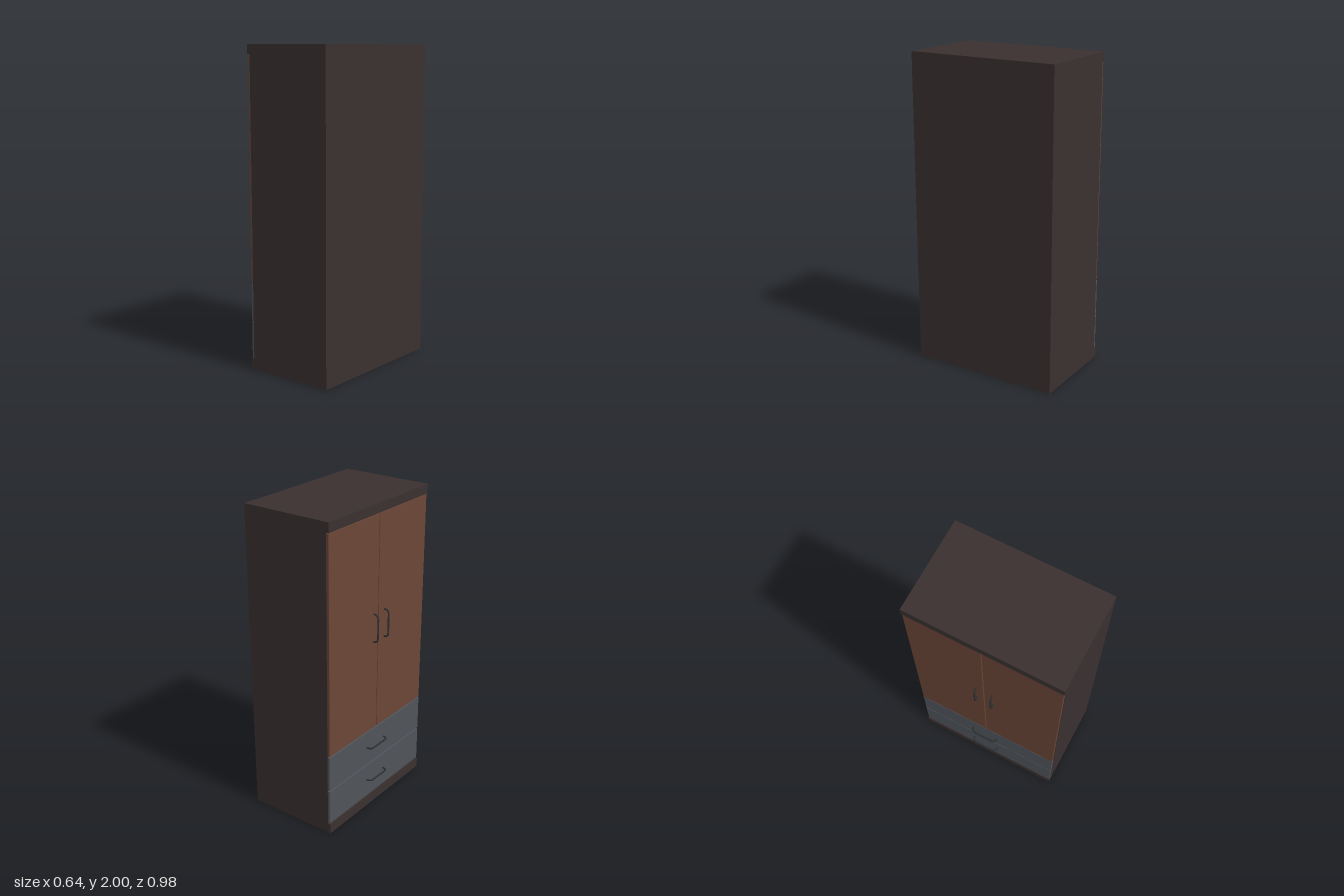
import * as THREE from 'three';
import { RoundedBoxGeometry } from 'three/addons/geometries/RoundedBoxGeometry.js';

const material = (color) => new THREE.MeshStandardMaterial({ color });

// Bow handle: runs along y, stands out towards -x, corners rounded
function handleGeometry() {
  const half = 0.09, out = -0.034, r = 0.03;
  const v = (x, y) => new THREE.Vector3(x, y, 0);
  const path = new THREE.CurvePath();
  path.add(new THREE.LineCurve3(v(0.004, -half), v(out + r, -half)));
  path.add(new THREE.QuadraticBezierCurve3(v(out + r, -half), v(out, -half), v(out, -half + r)));
  path.add(new THREE.LineCurve3(v(out, -half + r), v(out, half - r)));
  path.add(new THREE.QuadraticBezierCurve3(v(out, half - r), v(out, half), v(out + r, half)));
  path.add(new THREE.LineCurve3(v(out + r, half), v(0.004, half)));
  return new THREE.TubeGeometry(path, 60, 0.0055, 10);
}

export function createModel() {
  const group = new THREE.Group();
  const dark = material(0x3a3030);
  const wood = material(0x6a4636);
  const grey = material(0x50545a);
  const metal = material(0x2b3030);

  // Box given by its lower and upper corners; an edge radius rounds it
  function box(name, mat, [x0, y0, z0], [x1, y1, z1], radius = 0) {
    const size = [x1 - x0, y1 - y0, z1 - z0];
    const geometry = radius
      ? new RoundedBoxGeometry(...size, 2, radius)
      : new THREE.BoxGeometry(...size);
    const mesh = new THREE.Mesh(geometry, mat);
    mesh.name = name;
    mesh.position.set((x0 + x1) / 2, (y0 + y1) / 2, (z0 + z1) / 2);
    group.add(mesh);
  }

  const bow = handleGeometry();
  function handle(name, y, z, horizontal) {
    const mesh = new THREE.Mesh(bow, metal);
    mesh.name = name;
    mesh.position.set(-0.28, y, z);
    if (horizontal) mesh.rotation.x = Math.PI / 2;
    group.add(mesh);
  }

  // Cabinet body with overhanging top and plinth; the doors face -x
  box('cabinetBody', dark, [-0.266, 0.065, -0.489], [0.318, 1.94, 0.489]);
  box('topPanel', dark, [-0.286, 1.94, -0.489], [0.318, 2, 0.489]);
  box('basePanel', dark, [-0.286, 0, -0.489], [0.318, 0.065, 0.489]);

  // Two tall doors meeting at the middle
  const split = -0.005;
  box('rearDoor', wood, [-0.282, 0.546, -0.486], [-0.262, 1.936, split - 0.002], 0.003);
  box('frontDoor', wood, [-0.282, 0.546, split + 0.002], [-0.262, 1.936, 0.486], 0.003);
  handle('rearDoorHandle', 1.235, -0.051, false);
  handle('frontDoorHandle', 1.235, 0.057, false);

  // Two drawers below, each with a horizontal handle
  [['lowerDrawer', 0.069, 0.302, 0.192], ['upperDrawer', 0.307, 0.541, 0.429]]
    .forEach(([name, y0, y1, handleY]) => {
      box(name, grey, [-0.282, y0, -0.488], [-0.262, y1, 0.488], 0.004);
      handle(name + 'Handle', handleY, -0.014, true);
    });

  return group;
}
